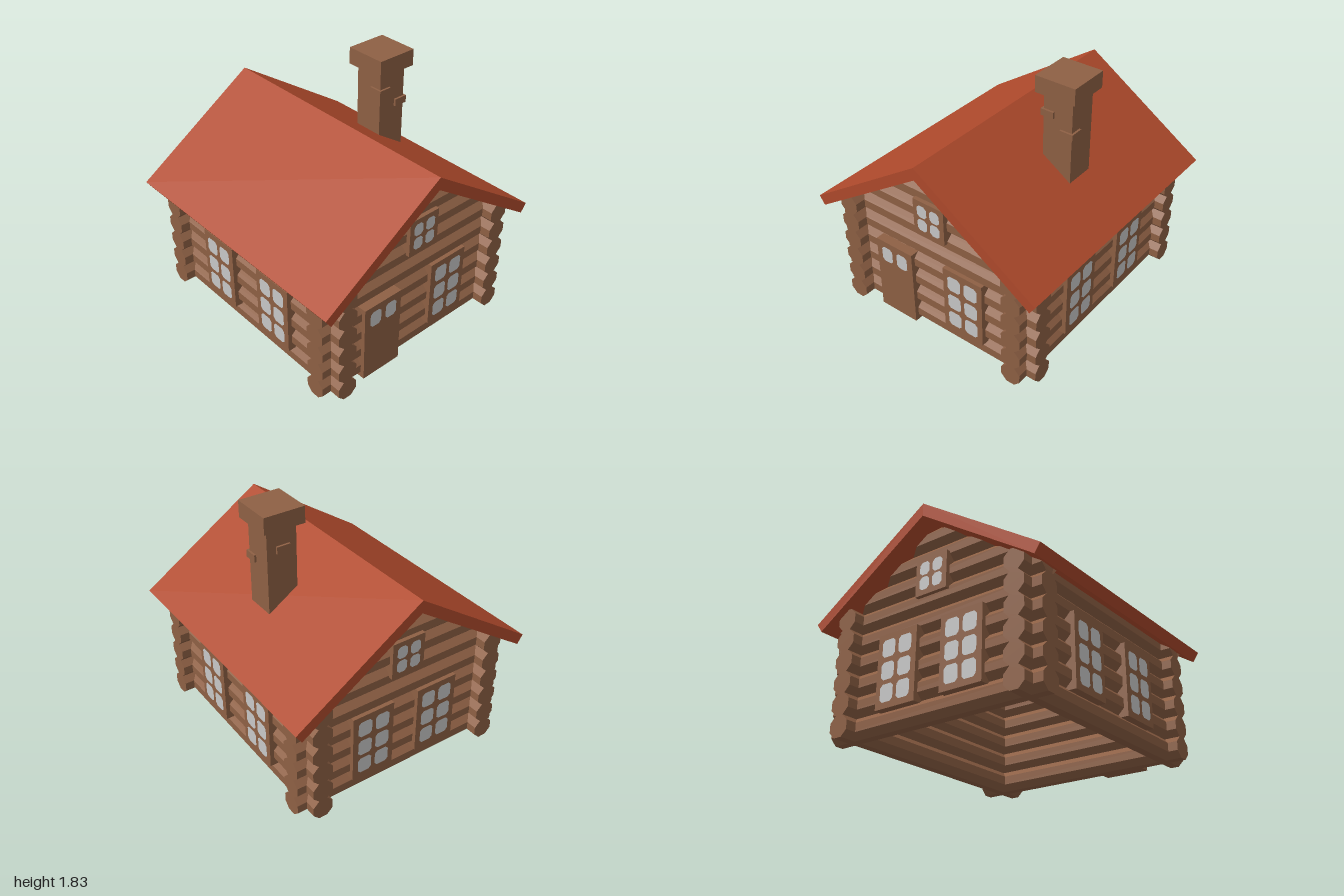
import * as THREE from 'three';

const brown = new THREE.MeshStandardMaterial({ color: 0x8e6044 });
brown.name = 'log brown';
const red = new THREE.MeshStandardMaterial({ color: 0xb04a2c });
red.name = 'roof red';
const glass = new THREE.MeshStandardMaterial({ color: 0xc8c8c8 });
glass.name = 'window grey';

const PITCH = 0.151;           // height of one log
const WALL_X = 0.703, WALL_Z = 0.79;
const FRAME = 0.03;            // how far frames stand out of the logs

function add(parent, name, geometry, material) {
  const mesh = new THREE.Mesh(geometry, material);
  mesh.name = name;
  parent.add(mesh);
  return mesh;
}

function polygon(points) {
  return new THREE.Shape(points.map(([x, y]) => new THREE.Vector2(x, y)));
}

// Prism with its outline in x, y and its length centred on z
function prism(points, length) {
  return new THREE.ExtrudeGeometry(polygon(points), { depth: length, bevelEnabled: false })
    .translate(0, 0, -length / 2);
}

// Box given by its limits
function box(x0, x1, y0, y1, z0, z1) {
  return new THREE.BoxGeometry(x1 - x0, y1 - y0, z1 - z0)
    .translate((x0 + x1) / 2, (y0 + y1) / 2, (z0 + z1) / 2);
}

// Rectangle with its corners cut off
function cutRect(w, h, c) {
  const a = w / 2, b = h / 2;
  return [[-a + c, -b], [a - c, -b], [a, -b + c], [a, b - c],
    [a - c, b], [-a + c, b], [-a, b - c], [-a, -b + c]];
}

// Eight-sided log along z
function log(length) {
  return prism(cutRect(PITCH, PITCH, PITCH * 0.293), length);
}

// Log along x at height y, its ends cut to stay inside the roof slope
function gableLog(y) {
  const g = log(1.7).rotateY(Math.PI / 2).translate(0, y, 0);
  const p = g.attributes.position;
  for (let i = 0; i < p.count; i++) {
    const limit = Math.min(0.85, (1.41 - p.getY(i)) / 0.66);
    p.setX(i, Math.sign(p.getX(i)) * limit);
  }
  g.computeVertexNormals();
  return g;
}

// Framed panel facing +z, with its back on z = 0; panes are laid out in a grid
function panel(name, w, h, paneXs, paneYs, paneW, paneH) {
  const group = new THREE.Group();
  group.name = name;
  add(group, 'frame', box(-w / 2, w / 2, -h / 2, h / 2, -0.06, FRAME), brown);
  const pane = new THREE.ShapeGeometry(polygon(cutRect(paneW, paneH, 0.02)));
  for (const x of paneXs) for (const y of paneYs) {
    add(group, 'pane', pane, glass).position.set(x, y, FRAME + 0.003);
  }
  return group;
}

const tallWindow = () =>
  panel('window', 0.33, 0.515, [-0.07, 0.07], [-0.155, -0.003, 0.153], 0.11, 0.122);
const atticWindow = () =>
  panel('atticWindow', 0.26, 0.27, [-0.054, 0.054], [-0.053, 0.055], 0.082, 0.093);

export function createModel() {
  const model = new THREE.Group();
  model.name = 'logCabin';

  // Log walls, open below
  const walls = new THREE.Group();
  walls.name = 'walls';
  model.add(walls);
  for (const side of [-1, 1]) {
    for (let i = 0; i < 9; i++) {
      const y = (i + 0.5) * PITCH;
      add(walls, 'gableLog', gableLog(y), brown).position.z = side * WALL_Z;
      if (i < 6) add(walls, 'sideLog', log(1.89), brown).position.set(side * WALL_X, y, 0);
    }
  }

  // Roof
  add(model, 'roof', prism([[0, 1.458], [-0.935, 0.838], [-0.892, 0.775], [0, 1.365],
    [0.892, 0.775], [0.935, 0.838]], 2), red);

  // Chimney with its cap and loose bricks
  const chimney = new THREE.Group();
  chimney.name = 'chimney';
  model.add(chimney);
  add(chimney, 'shaft', prism([[0.335, 1.19], [0.56, 1.04], [0.56, 1.72], [0.335, 1.72]], 0.224), brown);
  add(chimney, 'cap', box(0.292, 0.6, 1.71, 1.832, -0.155, 0.155), brown);
  add(chimney, 'brick', box(0.32, 0.42, 1.54, 1.588, 0.027, 0.128), brown);
  add(chimney, 'brick', box(0.472, 0.575, 1.422, 1.475, 0.027, 0.128), brown);
  add(chimney, 'brick', box(0.39, 0.492, 1.527, 1.58, -0.128, -0.05), brown);

  // Door and windows, placed on the outer faces of the logs
  const place = (part, x, y, z, turn) => {
    part.position.set(x, y, z);
    part.rotation.y = turn;
    model.add(part);
  };
  const faceX = WALL_X + PITCH / 2, faceZ = WALL_Z + PITCH / 2;
  place(panel('door', 0.325, 0.6, [-0.067, 0.069], [0.194], 0.096, 0.123), -0.348, 0.3, faceZ, 0);
  place(tallWindow(), 0.266, 0.391, faceZ, 0);
  place(atticWindow(), 0, 0.98, faceZ, 0);
  place(atticWindow(), 0, 0.98, -faceZ, Math.PI);
  for (const s of [-1, 1]) {
    place(tallWindow(), s * 0.266, 0.391, -faceZ, Math.PI);
    for (const z of [-0.302, 0.302]) place(tallWindow(), s * faceX, 0.391, z, s * Math.PI / 2);
  }
  return model;
}
